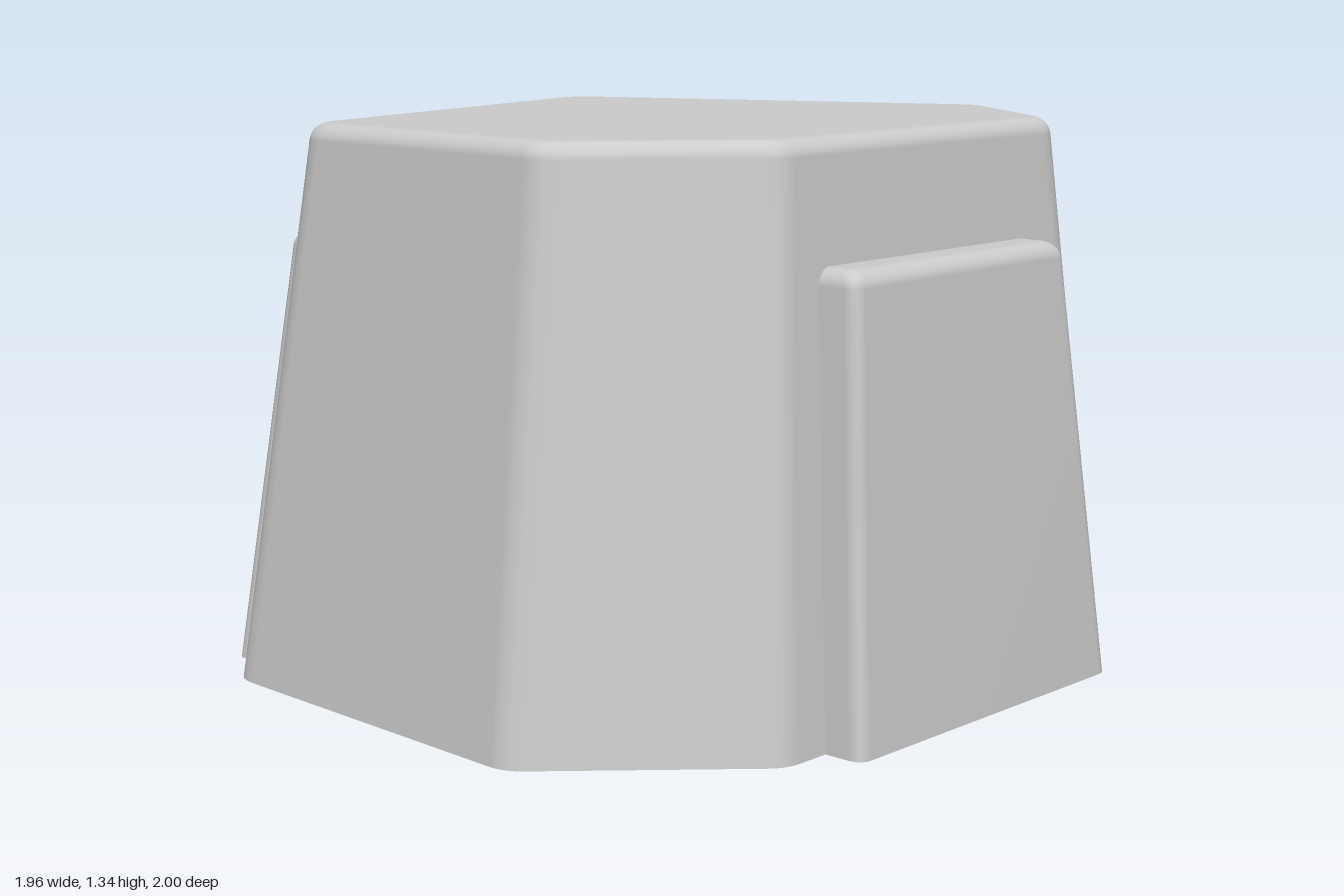
import * as THREE from 'three';

const lerp2 = (a, b, t) => new THREE.Vector2().lerpVectors(a, b, t);
const points = (list) => list.map(([x, z]) => new THREE.Vector2(x, z));

// Outward normal of the edge a -> b (x, z plane)
function edgeNormal(a, b) {
  const d = b.clone().sub(a).normalize();
  return new THREE.Vector2(d.y, -d.x);
}

// Move every edge of a convex polygon inward by the given distance
function inset(poly, dist) {
  const n = poly.length;
  return poly.map((p, i) => {
    const n0 = edgeNormal(poly[(i + n - 1) % n], p);
    const n1 = edgeNormal(p, poly[(i + 1) % n]);
    const k = -dist / (1 + n0.dot(n1));
    return p.clone().addScaledVector(n0.add(n1), k);
  });
}

// Replace each corner by a short arc
function roundCorners(poly, radius, steps = 5) {
  const n = poly.length, ring = [];
  poly.forEach((p, i) => {
    const toPrev = poly[(i + n - 1) % n].clone().sub(p).normalize();
    const toNext = poly[(i + 1) % n].clone().sub(p).normalize();
    const turn = Math.PI - Math.acos(THREE.MathUtils.clamp(toPrev.dot(toNext), -1, 1));
    const cut = radius * Math.tan(turn / 2);
    const curve = new THREE.QuadraticBezierCurve(
      p.clone().addScaledVector(toPrev, cut), p, p.clone().addScaledVector(toNext, cut));
    ring.push(...curve.getPoints(steps));
  });
  return ring;
}

// Tapered block between two outlines, with rounded corners and a rounded top rim
function taperedBlock(name, bottom, top, height, radius, bevel) {
  const levels = [[0, 0]];
  for (let i = 0; i <= 6; i++) {
    const a = (i / 6) * Math.PI / 2;
    levels.push([height - bevel + bevel * Math.sin(a), bevel * (1 - Math.cos(a))]);
  }
  const position = [], index = [];
  let count = 0;
  const addRing = (ring, y) => ring.forEach((p) => position.push(p.x, y, p.y));
  const addCentre = (ring, y) => {
    const c = ring.reduce((s, p) => s.add(p), new THREE.Vector2()).divideScalar(ring.length);
    position.push(c.x, y, c.y);
    return position.length / 3 - 1;
  };
  let ring;
  levels.forEach(([y, d]) => {
    const outline = bottom.map((p, i) => lerp2(p, top[i], y / height));
    ring = roundCorners(inset(outline, d), radius - d * 0.5);
    count = ring.length;
    addRing(ring, y);
  });
  for (let k = 0; k < levels.length - 1; k++) {
    for (let i = 0; i < count; i++) {
      const p = k * count + i, q = k * count + (i + 1) % count;
      index.push(p, p + count, q, q, p + count, q + count);
    }
  }
  // top cap shares the rim, bottom cap has its own sharp edge
  const last = (levels.length - 1) * count;
  const topCentre = addCentre(ring, height);
  const base = position.length / 3;
  const baseRing = roundCorners(bottom, radius);
  addRing(baseRing, 0);
  const baseCentre = addCentre(baseRing, 0);
  for (let i = 0; i < count; i++) {
    const j = (i + 1) % count;
    index.push(last + i, topCentre, last + j);
    index.push(base + i, base + j, baseCentre);
  }
  const geometry = new THREE.BufferGeometry();
  geometry.setAttribute('position', new THREE.Float32BufferAttribute(position, 3));
  geometry.setIndex(index);
  geometry.computeVertexNormals();
  const mesh = new THREE.Mesh(geometry, new THREE.MeshStandardMaterial({ color: 0xcccccc }));
  mesh.name = name;
  return mesh;
}

// Leaning slab on the wall a -> b; spans run along the wall, out is the distance from its foot
function wallSlab(name, a, b, { foot, head, footOut, headOut, height }) {
  const d = b.clone().sub(a).normalize(), n = edgeNormal(a, b);
  const at = (t, out) => a.clone().addScaledVector(d, t).addScaledVector(n, out);
  const outline = ([t0, t1], out) =>
    [at(t0, out), at(t1, out), at(t1, out - 0.25), at(t0, out - 0.25)];
  return taperedBlock(name, outline(foot, footOut), outline(head, headOut), height, 0.035, 0.04);
}

export function createModel() {
  const model = new THREE.Group();
  model.name = 'facetedBlock';

  // Six-sided tapering body
  const bottom = points([[-0.93, -0.45], [0.37, -1.015], [0.87, -0.65],
    [0.87, 0.575], [0.435, 1.005], [-0.56, 0.955]]);
  const top = points([[-0.735, -0.38], [0.34, -0.845], [0.755, -0.545],
    [0.755, 0.47], [0.4, 0.85], [-0.435, 0.805]]);
  model.add(taperedBlock('body', bottom, top, 1.34, 0.1, 0.04));

  // Raised slabs on three of the walls
  model.add(wallSlab('leftSlab', bottom[2], bottom[3],
    { foot: [0.13, 1.095], head: [0.23, 1.025], footOut: 0.1, headOut: 0.01, height: 1.06 }));
  model.add(wallSlab('rightSlab', bottom[5], bottom[0],
    { foot: [0.14, 1.32], head: [0.24, 1.24], footOut: 0.1, headOut: -0.025, height: 1.07 }));
  model.add(wallSlab('backSlab', bottom[0], bottom[1],
    { foot: [0.445, 0.985], head: [0.48, 0.955], footOut: 0.1, headOut: 0.045, height: 0.53 }));

  return model;
}
